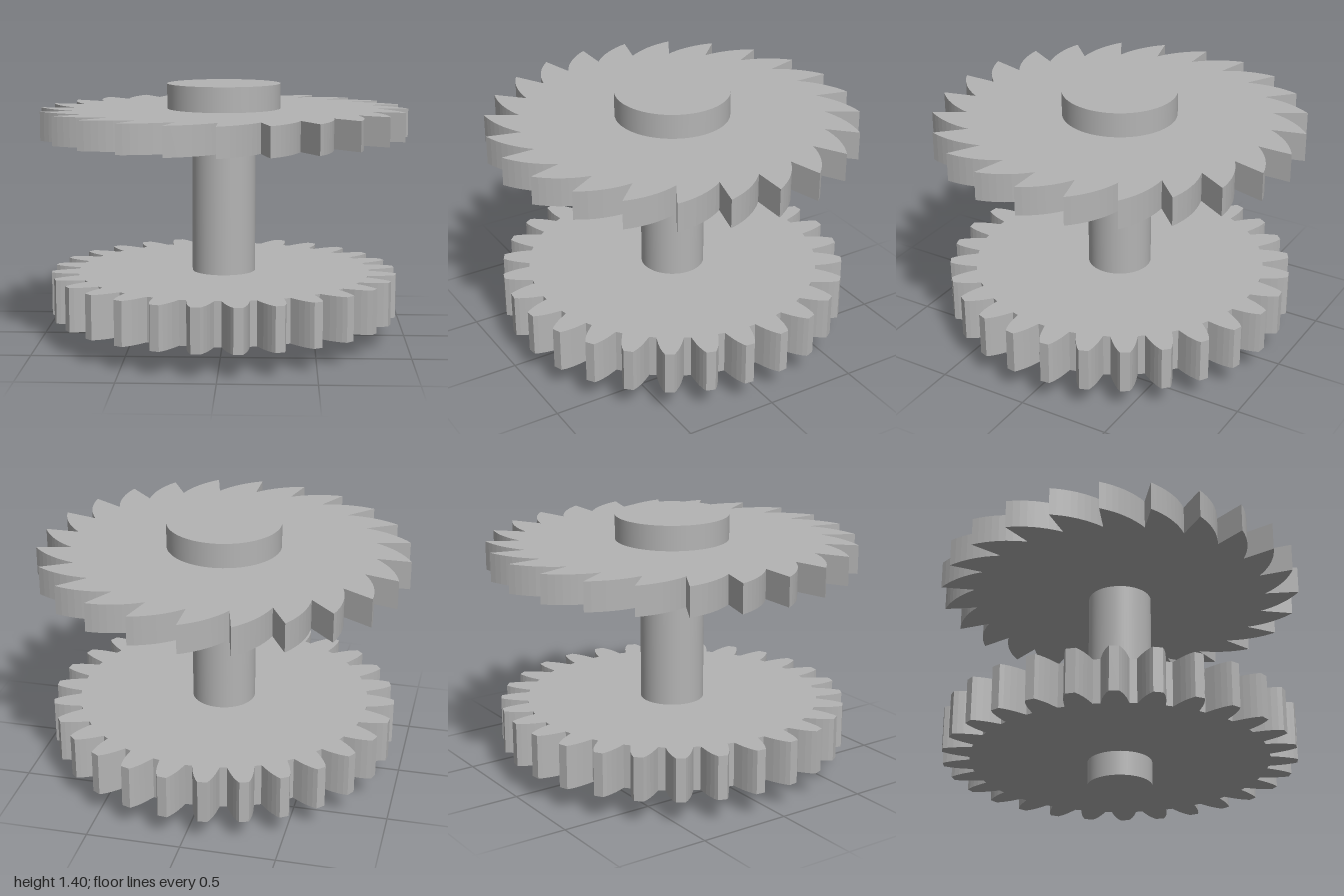
import * as THREE from 'three';

const steel = new THREE.MeshStandardMaterial({ color: 0xb4b4b4 });
steel.name = 'steel grey';

const polar = (r, a) => new THREE.Vector2(r * Math.cos(a), r * Math.sin(a));

// Flat toothed plate lying between heights y0 and y1
function plate(name, points, y0, y1) {
  const geometry = new THREE.ExtrudeGeometry(new THREE.Shape(points), {
    depth: y1 - y0, bevelEnabled: false,
  });
  geometry.rotateX(-Math.PI / 2);
  geometry.translate(0, y0, 0);
  const mesh = new THREE.Mesh(geometry, steel);
  mesh.name = name;
  return mesh;
}

// Upright cylinder between heights y0 and y1
function disc(name, radius, y0, y1) {
  const mesh = new THREE.Mesh(new THREE.CylinderGeometry(radius, radius, y1 - y0, 64), steel);
  mesh.position.y = (y0 + y1) / 2;
  mesh.name = name;
  return mesh;
}

// Saw teeth: a radial face, then a bowed back falling to the next root
function ratchetOutline(teeth, root, tip) {
  const points = [], steps = 8, pitch = 2 * Math.PI / teeth;
  for (let i = 0; i < teeth; i++) {
    for (let j = 0; j <= steps; j++) {
      const t = j / steps;
      const r = tip + (root - tip) * t + 0.05 * t * (1 - t);
      points.push(polar(r, (i + t) * pitch));
    }
  }
  return points;
}

// Symmetric gear teeth, with flanks given as [radius, half angle in degrees]
function gearOutline(teeth) {
  const flank = [[0.8, 5.1], [0.825, 4.6], [0.86, 3.95], [0.895, 3.15], [0.925, 2.3], [0.947, 1.5]];
  const points = [], pitch = 2 * Math.PI / teeth;
  for (let i = 0; i < teeth; i++) {
    const middle = (i + 0.5) * pitch;
    for (const [r, a] of flank) points.push(polar(r, middle - THREE.MathUtils.degToRad(a)));
    for (const [r, a] of [...flank].reverse()) points.push(polar(r, middle + THREE.MathUtils.degToRad(a)));
  }
  return points;
}

export function createModel() {
  const group = new THREE.Group();
  group.name = 'ratchetAndGear';
  group.add(
    disc('shaft', 0.173, 0, 1.2),
    plate('spurGear', gearOutline(28), 0.133, 0.37),
    plate('ratchetWheel', ratchetOutline(24, 0.815, 1), 1.11, 1.265),
    disc('topHub', 0.308, 1.2, 1.4),
  );
  return group;
}
